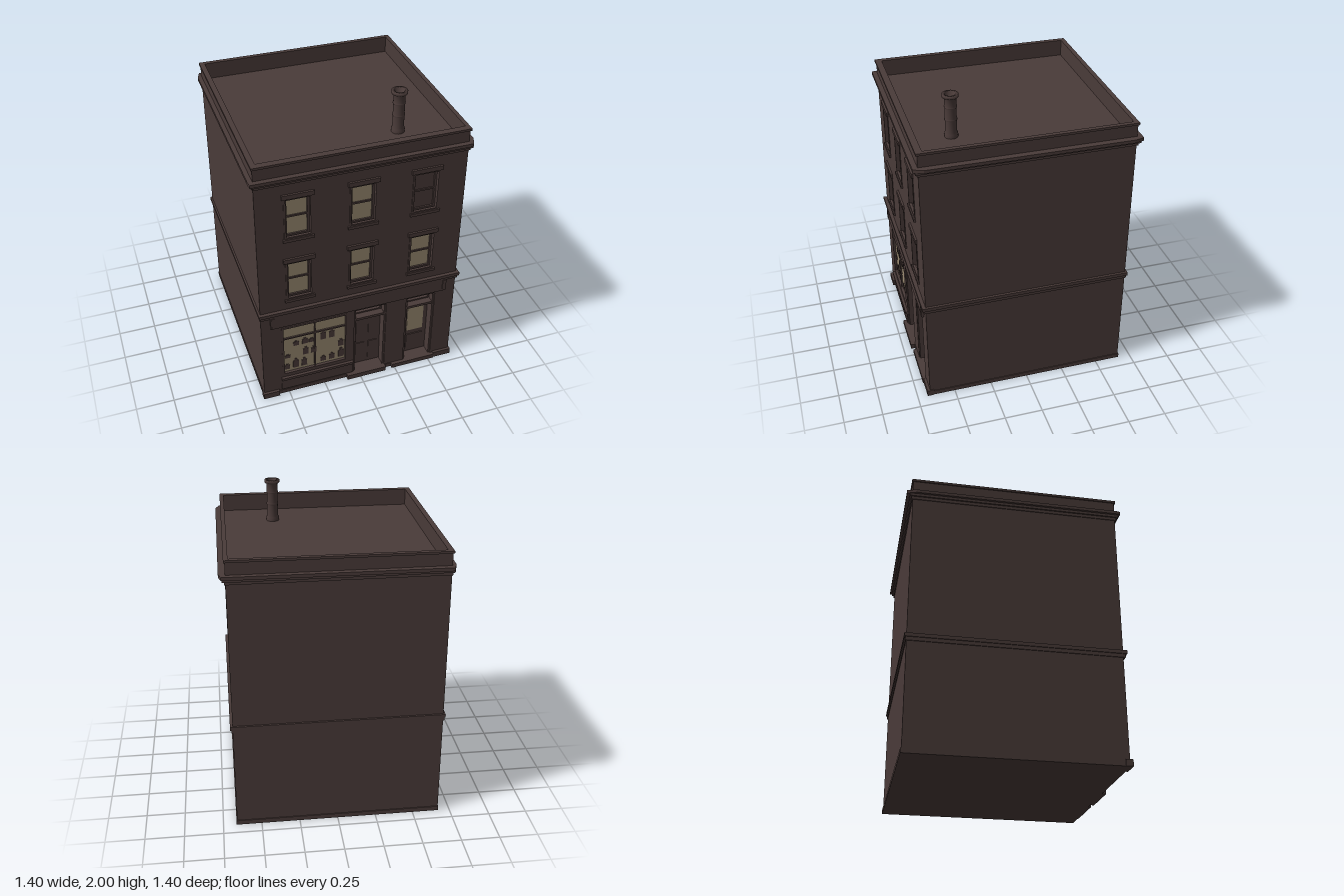
import * as THREE from 'three';

export function createModel() {
  const building = new THREE.Group();
  building.name = 'shopBuilding';
  const brown = new THREE.MeshStandardMaterial({ color: 0x4a3b39 });
  brown.name = 'dark brown masonry';
  const glow = new THREE.MeshStandardMaterial({ color: 0x9c8c73 });
  glow.name = 'lit glass';
  const FRONT = 0.667, BACK = 0.575;

  const add = (name, geometry, material = brown, parent = building) => {
    const mesh = new THREE.Mesh(geometry, material);
    mesh.name = name;
    parent.add(mesh);
    return mesh;
  };
  // Box given by its limits on each axis
  const block = (name, x0, x1, y0, y1, z0, z1, material, parent) => {
    const mesh = add(name, new THREE.BoxGeometry(x1 - x0, y1 - y0, z1 - z0), material, parent);
    mesh.position.set((x0 + x1) / 2, (y0 + y1) / 2, (z0 + z1) / 2);
    return mesh;
  };
  const rectPath = (x0, x1, y0, y1) => new THREE.Path([
    new THREE.Vector2(x0, y0), new THREE.Vector2(x0, y1),
    new THREE.Vector2(x1, y1), new THREE.Vector2(x1, y0)]);
  // Upright frame with a rectangular opening
  const frame = (name, x0, x1, y0, y1, t, z0, z1, parent) => {
    block(name + 'Left', x0, x0 + t, y0, y1, z0, z1, brown, parent);
    block(name + 'Right', x1 - t, x1, y0, y1, z0, z1, brown, parent);
    block(name + 'Top', x0 + t, x1 - t, y1 - t, y1, z0, z1, brown, parent);
    block(name + 'Bottom', x0 + t, x1 - t, y0, y0 + t, z0, z1, brown, parent);
  };
  // Horizontal course around the roof, open in the middle; points are [x, z]
  const course = (name, points, y0, y1) => {
    const shape = new THREE.Shape(points.map(([x, z]) => new THREE.Vector2(x, -z)));
    shape.holes.push(rectPath(-0.645, 0.64, -0.635, 0.64));
    const g = new THREE.ExtrudeGeometry(shape, { depth: y1 - y0, bevelEnabled: false });
    g.rotateX(-Math.PI / 2);
    add(name, g).position.y = y0;
  };
  const rect = (x0, x1, z0, z1) => [[x0, z0], [x0, z1], [x1, z1], [x1, z0]];

  // Main volume and pierced front wall
  block('mainWalls', -0.672, 0.66, 0, 1.72, -0.662, BACK);
  const columns = [-0.411, -0.003, 0.4], floors = [0.832, 1.302];
  const wall = new THREE.Shape([
    new THREE.Vector2(-0.672, 0), new THREE.Vector2(0.66, 0),
    new THREE.Vector2(0.66, 1.72), new THREE.Vector2(-0.672, 1.72)]);
  for (const x of columns) for (const y of floors)
    wall.holes.push(rectPath(x - 0.077, x + 0.077, y - 0.013, y + 0.28));
  wall.holes.push(rectPath(-0.54, -0.09, 0.16, 0.582));
  wall.holes.push(rectPath(-0.045, 0.178, 0.03, 0.585));
  wall.holes.push(rectPath(0.318, 0.522, 0.03, 0.585));
  add('frontWall', new THREE.ExtrudeGeometry(wall, { depth: FRONT - BACK, bevelEnabled: false }))
    .position.z = BACK;

  // Base, floor band, cornice and parapet
  block('baseCourse', -0.675, 0.665, 0, 0.03, -0.668, 0.67);
  block('bandLower', -0.678, 0.668, 0.692, 0.715, -0.668, 0.68);
  block('bandUpper', -0.684, 0.676, 0.715, 0.738, -0.675, 0.69);
  course('parapet', rect(-0.672, 0.66, -0.662, 0.668), 1.72, 1.815);
  course('parapetCap', rect(-0.679, 0.667, -0.67, 0.677), 1.815, 1.83);
  course('corniceLower', rect(-0.677, 0.668, -0.67, 0.675), 1.68, 1.7);
  course('corniceMiddle', rect(-0.686, 0.68, -0.682, 0.687), 1.7, 1.717);
  course('corniceUpper', [[-0.68, -0.7], [-0.7, -0.64], [-0.7, 0.67], [-0.695, 0.7],
    [0.675, 0.7], [0.7, 0.64], [0.7, -0.64], [0.685, -0.695]], 1.717, 1.738);

  // Sash windows
  columns.forEach((x, c) => floors.forEach((y, f) => {
    const w = new THREE.Group();
    w.name = 'sashWindow';
    building.add(w);
    const lit = !(c === 2 && f === 1);
    block('glass', x - 0.063, x + 0.063, y - 0.003, y + 0.257, 0.628, 0.634, lit ? glow : brown, w);
    frame('sash', x - 0.077, x + 0.077, y - 0.013, y + 0.268, 0.014, 0.61, 0.645, w);
    block('meetingRail', x - 0.063, x + 0.063, y + 0.122, y + 0.134, 0.62, 0.642, brown, w);
    frame('surround', x - 0.088, x + 0.088, y - 0.015, y + 0.277, 0.012, 0.655, 0.672, w);
    block('lintel', x - 0.1, x + 0.1, y + 0.276, y + 0.306, 0.6, 0.68, brown, w);
    block('sill', x - 0.097, x + 0.097, y - 0.034, y - 0.013, 0.6, 0.68, brown, w);
  }));

  // Shop fascia with end brackets
  block('fascia', -0.61, 0.585, 0.602, 0.692, 0.65, 0.678);
  for (const x of [-0.605, 0.565]) block('fasciaBracket', x, x + 0.025, 0.61, 0.692, 0.66, 0.684);

  // Shop window
  block('shopGlass', -0.528, -0.102, 0.172, 0.57, 0.645, 0.65, glow);
  frame('shopFrame', -0.54, -0.09, 0.16, 0.582, 0.014, 0.62, 0.668);
  block('shopMullion', -0.318, -0.308, 0.17, 0.57, 0.64, 0.66);
  block('shopTransom', -0.528, -0.102, 0.468, 0.478, 0.64, 0.66);
  block('shopSill', -0.55, -0.05, 0.125, 0.145, 0.64, 0.685);
  block('shopStallRiser', -0.55, -0.055, 0.04, 0.125, 0.64, 0.674);

  // Goods on display: rows of [x, height]
  const rows = [
    [0.195, [[-0.505, 0.045], [-0.445, 0.08], [-0.387, 0.07], [-0.255, 0.045], [-0.196, 0.055], [-0.13, 0.08]]],
    [0.295, [[-0.5, 0.03], [-0.376, 0.065], [-0.32, 0.055], [-0.132, 0.06]]],
    [0.392, [[-0.44, 0.04], [-0.38, 0.05], [-0.335, 0.035], [-0.255, 0.075], [-0.196, 0.07]]]];
  for (const [y, items] of rows) for (const [x, h] of items) {
    block('displayJar', x - 0.019, x + 0.019, y, y + h * 0.75, 0.65, 0.654);
    block('displayJarNeck', x - 0.009, x + 0.009, y + h * 0.75, y + h, 0.65, 0.654);
  }

  // Doors with overlights and steps
  const door = (name, x0, x1, glazed) => {
    const g = new THREE.Group();
    g.name = name;
    building.add(g);
    block('leaf', x0 + 0.012, x1 - 0.012, 0.03, 0.485, 0.57, 0.595, brown, g);
    block('jambLeft', x0, x0 + 0.012, 0.03, 0.585, 0.58, 0.66, brown, g);
    block('jambRight', x1 - 0.012, x1, 0.03, 0.585, 0.58, 0.66, brown, g);
    block('transomBar', x0, x1, 0.485, 0.503, 0.58, 0.655, brown, g);
    frame('overlight', x0 + 0.012, x1 - 0.012, 0.503, 0.585, 0.01, 0.58, 0.61, g);
    const m = (x0 + x1) / 2 + 0.003;
    if (glazed) {
      block('doorGlass', m - 0.058, m + 0.058, 0.228, 0.43, 0.595, 0.6, glow, g);
      block('doorPanel', m - 0.058, m + 0.058, 0.07, 0.19, 0.594, 0.602, brown, g);
    } else {
      for (const s of [-1, 1]) for (const [y0, y1] of [[0.07, 0.22], [0.26, 0.45]])
        block('doorPanel', m + s * 0.045 - 0.032, m + s * 0.045 + 0.032, y0, y1, 0.594, 0.6, brown, g);
    }
    const knob = add('doorKnob', new THREE.SphereGeometry(0.008, 10, 8), brown, g);
    knob.position.set(x0 + 0.026, 0.25, 0.605);
  };
  door('mainDoor', -0.045, 0.178, false);
  door('glazedDoor', 0.318, 0.522, true);
  block('mainStep', -0.095, 0.182, 0, 0.035, 0.58, 0.697);
  block('glazedDoorStep', 0.23, 0.54, 0, 0.032, 0.58, 0.69);
  block('plinthLeft', 0.54, 0.668, 0, 0.042, 0.64, 0.685);
  block('plinthRight', -0.68, -0.57, 0, 0.042, 0.64, 0.685);

  // Roof flue: hollow pipe with collars
  const flue = [[0.042, 1.72], [0.042, 1.745], [0.036, 1.755], [0.036, 1.83], [0.039, 1.833], [0.039, 1.842],
    [0.036, 1.845], [0.036, 1.91], [0.039, 1.913], [0.039, 1.922], [0.036, 1.925], [0.036, 1.972],
    [0.05, 1.982], [0.05, 2], [0.032, 2], [0.026, 1.95], [0, 1.95]];
  add('roofFlue', new THREE.LatheGeometry(flue.map(([r, y]) => new THREE.Vector2(r, y)), 20))
    .position.set(0.315, 0, 0.39);

  return building;
}
